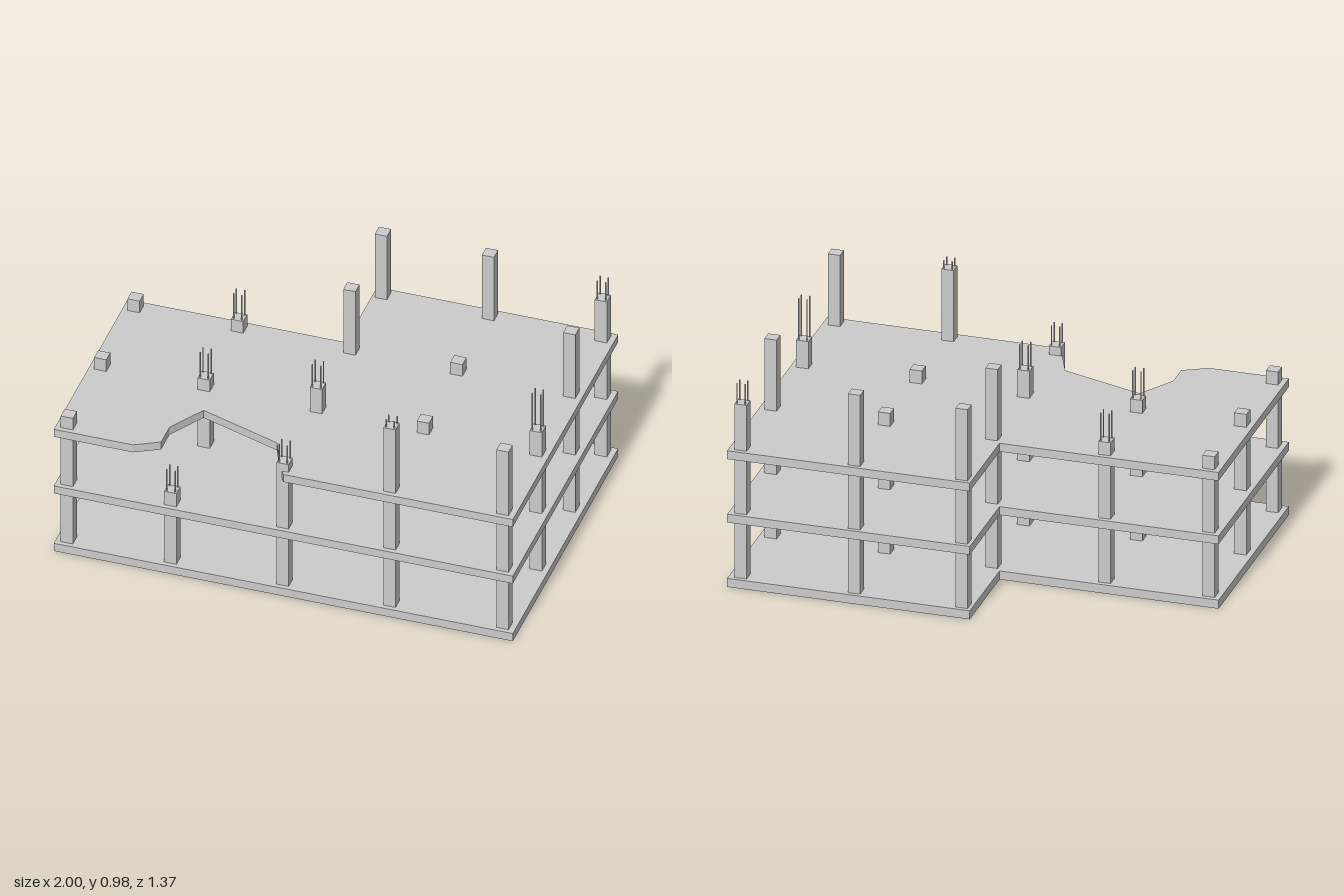
import * as THREE from 'three';

const material = new THREE.MeshStandardMaterial({ color: 0xcccccc, flatShading: true, side: THREE.DoubleSide });

// Upright prism over a plan outline of [x, z] points; an open one has no underside
function makePrism(name, outline, bottom, top, open) {
  const shape = new THREE.Shape(outline.map(([x, z]) => new THREE.Vector2(x, -z)));
  let geometry = new THREE.ExtrudeGeometry(shape, { depth: top - bottom, bevelEnabled: false });
  if (open) {
    // The lower lid comes first in the position list
    const lidCount = geometry.groups[0].count / 2;
    const positions = geometry.attributes.position.array.slice(lidCount * 3);
    geometry = new THREE.BufferGeometry();
    geometry.setAttribute('position', new THREE.BufferAttribute(positions, 3));
    geometry.computeVertexNormals();
  }
  geometry.rotateX(-Math.PI / 2);
  const mesh = new THREE.Mesh(geometry, material);
  mesh.name = name;
  mesh.position.y = bottom;
  return mesh;
}

// Square hollow column, with four reinforcing bars when barTop is given
function makeColumn(x, z, top, barTop) {
  const group = new THREE.Group();
  group.name = 'column';
  group.position.set(x, 0, z);
  const h = 0.0265;
  group.add(makePrism('columnPost', [[-h, h], [h, h], [h, -h], [-h, -h]], 0.015, top, true));
  if (barTop) {
    const length = barTop - top + 0.01;
    const geometry = new THREE.CylinderGeometry(0.003, 0.003, length, 6);
    for (const sx of [-1, 1]) {
      for (const sz of [-1, 1]) {
        const bar = new THREE.Mesh(geometry, material);
        bar.name = 'reinforcingBar';
        bar.position.set(sx * 0.018, barTop - length / 2, sz * 0.018);
        group.add(bar);
      }
    }
  }
  return group;
}

export function createModel() {
  const model = new THREE.Group();
  model.name = 'unfinishedBuilding';

  // L-shaped floors; the lowest is hollow below, the top one has a broken front edge
  const outline = [[1, 0.686], [1, -0.686], [-0.051, -0.686], [-0.051, -0.277], [-1, -0.277], [-1, 0.686]];
  const broken = [[-0.655, 0.686], [-0.551, 0.63], [-0.551, 0.52], [-0.455, 0.363],
    [-0.095, 0.484], [-0.035, 0.63], [0, 0.686]];
  model.add(makePrism('groundSlab', outline, 0, 0.039, true));
  model.add(makePrism('middleSlab', outline, 0.294, 0.332, false));
  model.add(makePrism('topSlab', [...outline, ...broken], 0.583, 0.621, false));

  // Column grid: [column top, bar top] per place, rows from back to front
  const xs = [-0.95, -0.499, -0.01, 0.456, 0.948];
  const rows = [
    { z: -0.641, tops: [null, null, [0.945], [0.945], [0.83, 0.922]] },
    { z: -0.23, tops: [[0.68], [0.68, 0.807], [0.945], [0.68], [0.945]] },
    { z: 0.205, tops: [[0.68], [0.68, 0.807], [0.745, 0.857], [0.68], [0.745, 0.932]] },
    { z: 0.639, tops: [[0.68], [0.4, 0.507], [0.66, 0.75], [0.945, 0.982], [0.945]] },
  ];
  for (const { z, tops } of rows) {
    tops.forEach((heights, i) => {
      if (heights) model.add(makeColumn(xs[i], z, ...heights));
    });
  }
  return model;
}
